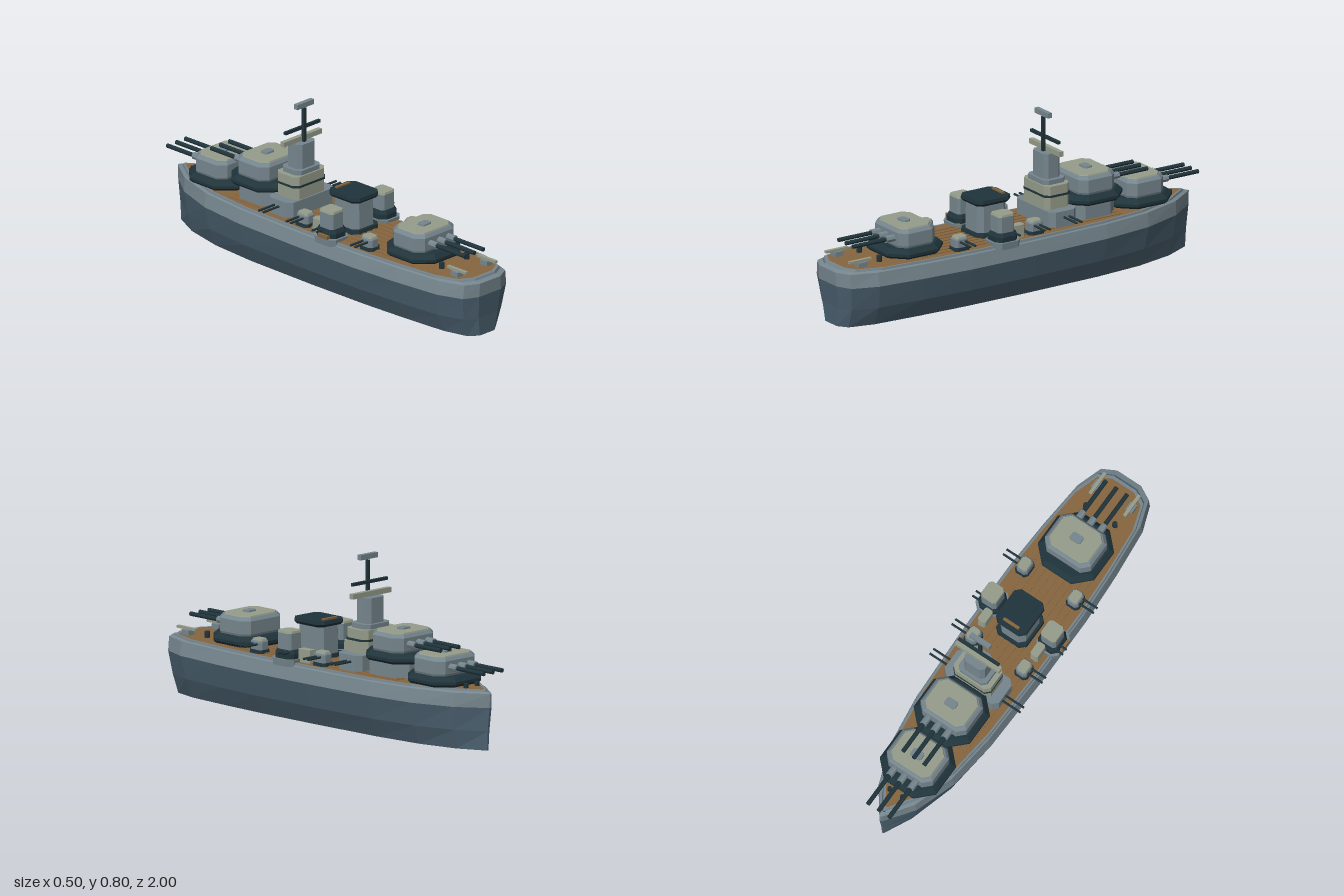
import * as THREE from 'three';

const mat = (name, color, side = THREE.FrontSide) => {
  const m = new THREE.MeshStandardMaterial({ color, side, flatShading: true });
  m.name = name;
  return m;
};

export function createModel() {
  const hullBlue = mat('hullBlue', 0x4b6170, THREE.DoubleSide);
  const grey = mat('steelGrey', 0x76868e, THREE.DoubleSide);
  const light = mat('paleOlive', 0x969d8b);
  const dark = mat('darkTeal', 0x20343b);
  const deckBrown = mat('deckBrown', 0x86653f, THREE.DoubleSide);

  const ship = new THREE.Group();
  ship.name = 'warship';

  const add = (parent, name, geo, material, x = 0, y = 0, z = 0) => {
    const m = new THREE.Mesh(geo, material);
    m.name = name;
    m.position.set(x, y, z);
    parent.add(m);
    return m;
  };
  const box = (parent, name, material, w, h, d, x, y, z) =>
    add(parent, name, new THREE.BoxGeometry(w, h, d), material, x, y, z);

  // Skin through horizontal rings of equal point count, ordered +x, -z, -x, +z
  const loft = (rings, capTop = true, capBottom = false) => {
    const pos = [];
    const tri = (a, b, c) => pos.push(...a, ...b, ...c);
    const n = rings[0].length;
    for (let r = 0; r < rings.length - 1; r++) {
      for (let i = 0; i < n; i++) {
        const j = (i + 1) % n, lo = rings[r], hi = rings[r + 1];
        tri(lo[i], lo[j], hi[j]);
        tri(lo[i], hi[j], hi[i]);
      }
    }
    const cap = (ring, up) => {
      const c = [0, ring[0][1], 0];
      for (let i = 0; i < n; i++) {
        const j = (i + 1) % n;
        up ? tri(c, ring[i], ring[j]) : tri(c, ring[j], ring[i]);
      }
    };
    if (capTop) cap(rings[rings.length - 1], true);
    if (capBottom) cap(rings[0], false);
    const g = new THREE.BufferGeometry();
    g.setAttribute('position', new THREE.Float32BufferAttribute(pos, 3));
    g.computeVertexNormals();
    return g;
  };

  // Rectangle with cut corners; levels are [y, scale]
  const prism = (w, d, c, levels) => {
    const q = [[w, d - c], [w, c - d], [w - c, -d], [c - w, -d], [-w, c - d], [-w, d - c], [c - w, d], [w - c, d]];
    return loft(levels.map(([y, s]) => q.map(([x, z]) => [x * s, y, z * s])), true, true);
  };
  const block = (parent, name, material, w, d, c, levels, x = 0, z = 0) =>
    add(parent, name, prism(w, d, c, levels), material, x, 0, z);

  const rod = (parent, name, material, r, len, x, y, z, axis) => {
    const m = add(parent, name, new THREE.CylinderGeometry(r, r, len, 8), material, x, y, z);
    if (axis === 'z') m.rotation.x = Math.PI / 2;
    if (axis === 'x') m.rotation.z = Math.PI / 2;
    return m;
  };

  // Hull: half-widths from stern to bow
  const stations = [[1, 0.07], [0.965, 0.14], [0.84, 0.185], [0.6, 0.207], [0.35, 0.22], [0, 0.22],
    [-0.4, 0.207], [-0.65, 0.175], [-0.85, 0.105], [-0.985, 0.006]];
  const outline = (y, sx, sz) => {
    const side = stations.map(([z, w]) => [w * sx, y, z * sz]);
    return [...side, ...side.map(([x, , z]) => [-x, y, z]).reverse()];
  };
  add(ship, 'lowerHull', loft([outline(0, 0.66, 0.98), outline(0.09, 0.87, 0.985), outline(0.2, 1, 0.998)], false), hullBlue);
  add(ship, 'upperHull', loft([outline(0.2, 1, 0.998), outline(0.265, 0.94, 1), outline(0.272, 0.89, 0.975)], false), grey);
  add(ship, 'deckTrim', loft([outline(0.268, 0.91, 0.97), outline(0.28, 0.9, 0.965), outline(0.28, 0.86, 0.95)], false), grey);
  add(ship, 'deck', loft([outline(0.274, 0.87, 0.955), outline(0.28, 0.86, 0.95)]), deckBrown);
  for (let i = -4; i <= 4; i++) box(ship, 'deckPlank', deckBrown, 0.022, 0.004, 1.1, i * 0.034, 0.281, 0.03);

  // Main gun turrets
  const turret = (name, z, dir, y0, barrelEnd) => {
    const g = new THREE.Group();
    g.name = name;
    g.position.set(0, y0, z);
    if (dir < 0) g.rotation.y = Math.PI;
    ship.add(g);
    block(g, 'turretRing', dark, 0.155, 0.155, 0.075, [[0, 0.92], [0.012, 1], [0.025, 1], [0.045, 0.87]]);
    block(g, 'gunHouse', grey, 0.127, 0.1, 0.035, [[0.04, 0.96], [0.055, 1], [0.115, 1], [0.13, 0.9]]);
    block(g, 'gunHouseRoof', light, 0.11, 0.086, 0.03, [[0.129, 1], [0.136, 0.97]]);
    block(g, 'roofHatch', grey, 0.03, 0.021, 0.008, [[0.135, 1], [0.144, 0.95]], 0, 0.005);
    for (const x of [-0.058, 0, 0.058]) {
      rod(g, 'barrelSleeve', grey, 0.017, 0.06, x, 0.085, 0.115, 'z');
      const len = Math.abs(barrelEnd - z) - 0.09;
      rod(g, 'mainBarrel', dark, 0.0105, len, x, 0.085, 0.09 + len / 2, 'z');
    }
  };
  turret('foreTurret', -0.685, -1, 0.283, -1);
  turret('raisedTurret', -0.415, -1, 0.35, -0.72);
  turret('aftTurret', 0.575, 1, 0.283, 0.9);
  block(ship, 'raisedBarbette', grey, 0.13, 0.13, 0.06, [[0.278, 1], [0.352, 1]], 0, -0.4);

  // Bridge and mast
  const bridge = new THREE.Group();
  bridge.name = 'bridge';
  bridge.position.z = -0.205;
  ship.add(bridge);
  block(bridge, 'bridgeBase', grey, 0.15, 0.075, 0.025, [[0.278, 1], [0.355, 1]]);
  block(bridge, 'bridgeMiddle', light, 0.102, 0.068, 0.022, [[0.355, 1], [0.465, 1]]);
  block(bridge, 'bridgeWindows', dark, 0.104, 0.07, 0.022, [[0.412, 1], [0.422, 1]]);
  block(bridge, 'bridgeDeck', grey, 0.078, 0.06, 0.02, [[0.465, 1], [0.487, 1]]);
  block(bridge, 'bridgeTower', grey, 0.057, 0.046, 0.018, [[0.487, 1], [0.605, 1]]);
  box(bridge, 'rangefinder', light, 0.244, 0.024, 0.022, 0, 0.618, 0.0);
  box(bridge, 'mast', dark, 0.015, 0.17, 0.015, 0, 0.685, 0.018);
  box(bridge, 'yardarm', dark, 0.224, 0.014, 0.014, 0, 0.671, 0.006);
  box(bridge, 'radarPanel', grey, 0.108, 0.024, 0.022, 0, 0.787, 0.018);

  // Funnel
  const funnel = new THREE.Group();
  funnel.name = 'funnel';
  funnel.position.z = 0.13;
  ship.add(funnel);
  block(funnel, 'funnelFoot', dark, 0.085, 0.095, 0.025, [[0.278, 1], [0.3, 0.97]]);
  block(funnel, 'funnelBody', grey, 0.07, 0.08, 0.025, [[0.3, 1], [0.435, 0.97]]);
  block(funnel, 'funnelCap', dark, 0.084, 0.097, 0.025, [[0.43, 0.9], [0.442, 1], [0.458, 0.97]]);
  box(funnel, 'funnelSlat', deckBrown, 0.085, 0.009, 0.014, 0, 0.461, -0.07);

  // Twin guns pointing outboard
  const twin = (g, s, x, y, z, end) => {
    for (const dz of [-0.014, 0.014])
      rod(g, 'smallBarrel', dark, 0.0055, end - x, s * (x + end) / 2, y, z + dz, 'x');
  };

  for (const s of [-1, 1]) {
    // Small gun mounts
    for (const z of [-0.04, 0.37]) {
      const g = new THREE.Group();
      g.name = 'smallMount';
      ship.add(g);
      block(g, 'smallMountBase', dark, 0.036, 0.042, 0.014, [[0.278, 1], [0.296, 0.95]], s * 0.14, z);
      block(g, 'smallMountHouse', grey, 0.03, 0.036, 0.012, [[0.296, 1], [0.332, 1], [0.338, 0.9]], s * 0.14, z);
      block(g, 'smallMountRoof', light, 0.026, 0.031, 0.01, [[0.337, 1], [0.345, 0.9]], s * 0.14, z);
      twin(g, s, 0.16, 0.322, z, 0.25);
    }
    // Bridge wing guns
    twin(ship, s, 0.14, 0.325, -0.215, 0.25);

    // Side towers on sponsons
    const t = new THREE.Group();
    t.name = 'sideTower';
    ship.add(t);
    block(t, 'sponson', grey, 0.062, 0.07, 0.025, [[0.262, 0.95], [0.295, 1]], s * 0.168, 0.15);
    block(t, 'sideTowerRing', dark, 0.056, 0.06, 0.025, [[0.295, 1], [0.318, 1], [0.335, 0.85]], s * 0.165, 0.15);
    block(t, 'sideTowerHouse', grey, 0.042, 0.044, 0.012, [[0.33, 1], [0.41, 1]], s * 0.165, 0.15);
    block(t, 'sideTowerRoof', light, 0.043, 0.045, 0.013, [[0.41, 1], [0.42, 0.94]], s * 0.165, 0.15);
    twin(t, s, 0.17, 0.325, 0.125, 0.25);
    block(t, 'sideLocker', light, 0.022, 0.038, 0.008, [[0.278, 1], [0.34, 0.95]], s * 0.145, 0.062);

    // Stern fittings
    box(ship, 'sternMountBase', grey, 0.036, 0.024, 0.045, s * 0.095, 0.291, 0.88);
    box(ship, 'sternMount', light, 0.016, 0.012, 0.12, s * 0.095, 0.309, 0.885);
    rod(ship, 'bollard', dark, 0.013, 0.03, s * 0.08, 0.294, 0.77, 'y');
    rod(ship, 'bowBollard', dark, 0.011, 0.02, s * 0.035, 0.29, -0.86, 'y');
  }
  // Stowed boat
  box(ship, 'stowedBoat', deckBrown, 0.026, 0.018, 0.06, -0.222, 0.305, 0.16);

  return ship;
}
